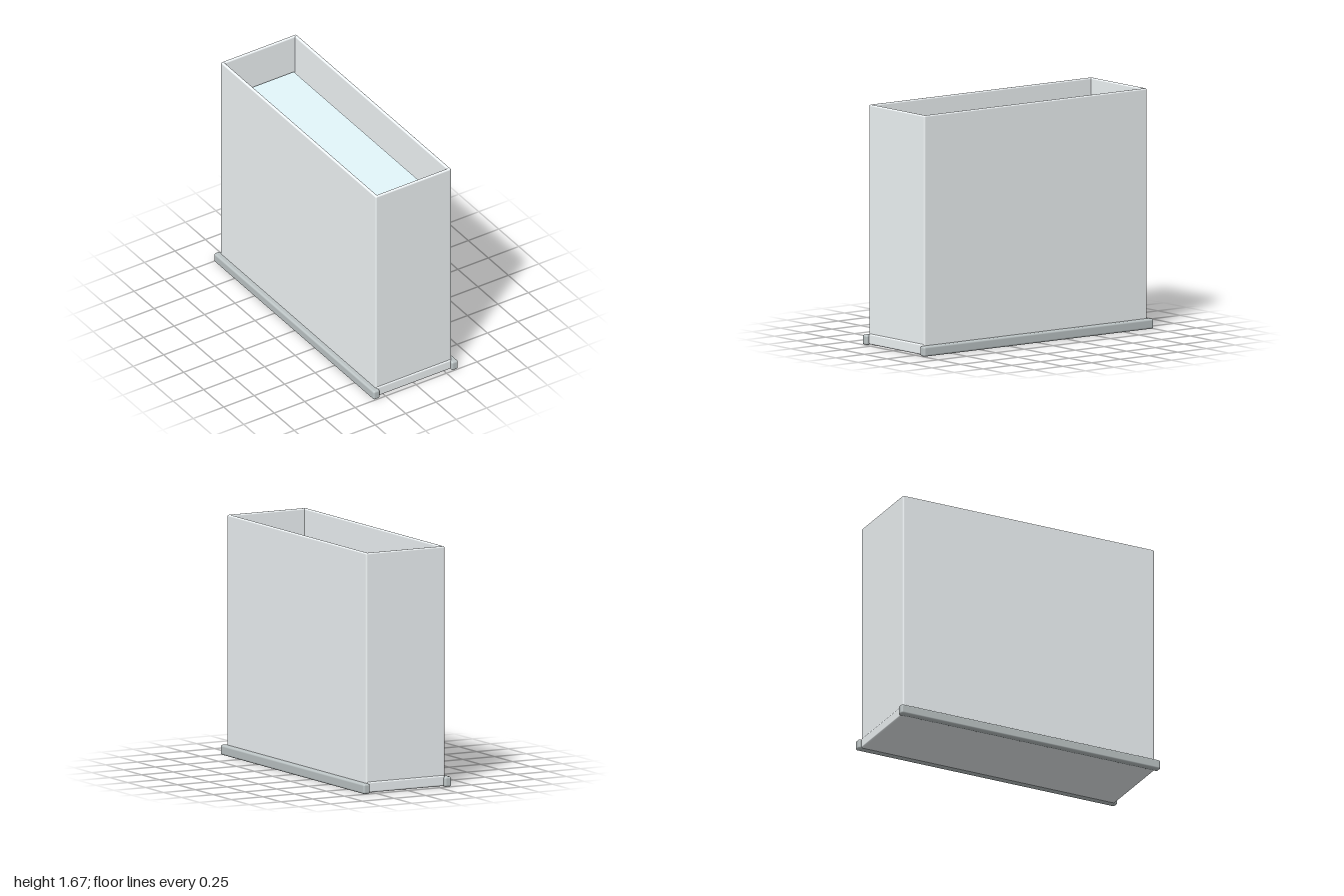
import * as THREE from 'three';
import { RoundedBoxGeometry } from 'three/addons/geometries/RoundedBoxGeometry.js';

const wallWhite = new THREE.MeshStandardMaterial({ color: 0xf1f6f8 });
const railGrey = new THREE.MeshStandardMaterial({ color: 0xbdc5c6 });
const waterBlue = new THREE.MeshStandardMaterial({ color: 0xe4f7fc });

export function createModel() {
  const model = new THREE.Group();
  model.name = 'openTank';

  const add = (name, geometry, material, x, y, z) => {
    const mesh = new THREE.Mesh(geometry, material);
    mesh.name = name;
    mesh.position.set(x, y, z);
    model.add(mesh);
  };
  const rounded = (w, h, d, r) => new RoundedBoxGeometry(w, h, d, 3, r);

  // Base slab, showing as a low strip at both ends
  add('base', rounded(0.61, 0.075, 1.956, 0.012), wallWhite, 0, 0.0415, 0);

  // Thin wall panels with rounded edges, and the rails along the long sides
  const thickness = 0.023, edge = 0.011;
  const bottom = 0.04, top = 1.668;
  const height = top - bottom, middle = (top + bottom) / 2;
  for (const s of [1, -1]) {
    add(s > 0 ? 'leftWall' : 'rightWall',
      rounded(thickness, height, 1.94, edge), wallWhite, s * (0.31 - thickness / 2), middle, 0);
    add(s > 0 ? 'frontWall' : 'backWall',
      rounded(0.612, height, thickness, edge), wallWhite, 0, middle, s * (0.97 - thickness / 2));
    add(s > 0 ? 'leftRail' : 'rightRail',
      rounded(0.052, 0.07, 2, 0.014), railGrey, s * 0.321, 0.035, 0);
  }

  // Block of water, inset a little from the walls and ending below the rim
  const waterBottom = 0.07, waterTop = 1.39;
  add('water', new THREE.BoxGeometry(0.53, waterTop - waterBottom, 1.862), waterBlue,
    0, (waterTop + waterBottom) / 2, 0);

  return model;
}
